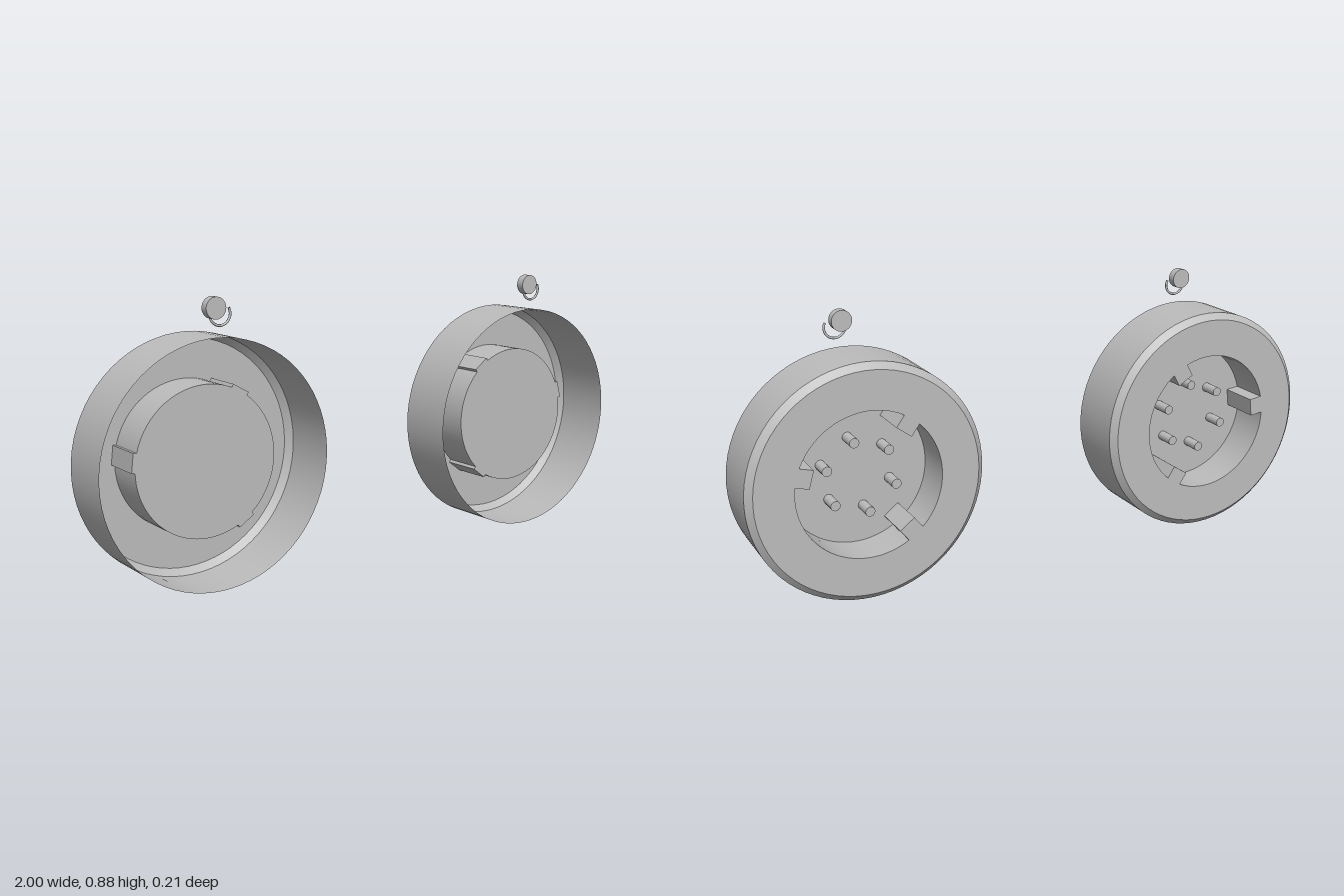
import * as THREE from 'three';

const grey = new THREE.MeshStandardMaterial({ color: 0xbcbcbc, side: THREE.DoubleSide });
grey.name = 'plain grey';

const RADIUS = 0.382, FRONT = 0.107, BACK = -0.105, FLOOR = 0.03, HOLE = 0.236;

function add(parent, name, geometry, x = 0, y = 0, z = 0) {
  const mesh = new THREE.Mesh(geometry, grey);
  mesh.name = name;
  mesh.position.set(x, y, z);
  parent.add(mesh);
  return mesh;
}

// One band of a turned sheet, from (radius, z) to (radius, z)
function band(r0, z0, r1, z1) {
  const points = [new THREE.Vector2(r0, z0), new THREE.Vector2(r1, z1)];
  return new THREE.LatheGeometry(points, 72).rotateX(Math.PI / 2);
}

// Cylinder along z
function rod(radius, length, sides) {
  return new THREE.CylinderGeometry(radius, radius, length, sides).rotateX(Math.PI / 2);
}

function makeSocket(keyAngles) {
  const socket = new THREE.Group();

  // Thin open shell with a recessed cup
  add(socket, 'outerWall', band(RADIUS, FRONT, RADIUS, -0.085));
  add(socket, 'chamfer', band(RADIUS, -0.085, 0.361, BACK));
  add(socket, 'backPlate', band(0.361, BACK, HOLE, BACK));
  add(socket, 'cupWall', band(HOLE, BACK, HOLE, FLOOR));
  add(socket, 'cupFloor', new THREE.CircleGeometry(HOLE, 72), 0, 0, FLOOR);

  // Alignment keys through the cup wall
  for (const degrees of keyAngles) {
    const a = THREE.MathUtils.degToRad(degrees);
    const key = add(socket, 'key', new THREE.BoxGeometry(0.056, 0.06, FLOOR - BACK),
      0.217 * Math.cos(a), 0.217 * Math.sin(a), (FLOOR + BACK) / 2);
    key.rotation.z = a;
  }

  // Six contact pins on the cup floor
  for (let i = 0; i < 6; i++) {
    const a = THREE.MathUtils.degToRad(20 + i * 60);
    add(socket, 'pin', rod(0.016, 0.065, 20), 0.118 * Math.cos(a), 0.118 * Math.sin(a), FLOOR - 0.0325);
  }

  // Small button with a wire hook above the shell
  add(socket, 'button', rod(0.033, 0.027, 32), 0, 0.468, 0.0935);
  const hook = new THREE.TorusGeometry(0.034, 0.004, 8, 32, Math.PI * 1.2);
  add(socket, 'hook', hook, 0.02, 0.449, 0.092).rotation.z = Math.PI * 0.96;

  return socket;
}

export function createModel() {
  const model = new THREE.Group();
  const right = makeSocket([60, 173, 303]);
  right.name = 'rightSocket';
  right.position.set(-0.618, 0.384, 0);
  const left = makeSocket([16, 127, 233]);
  left.name = 'leftSocket';
  left.position.set(0.618, 0.384, 0);
  model.add(right, left);
  return model;
}
